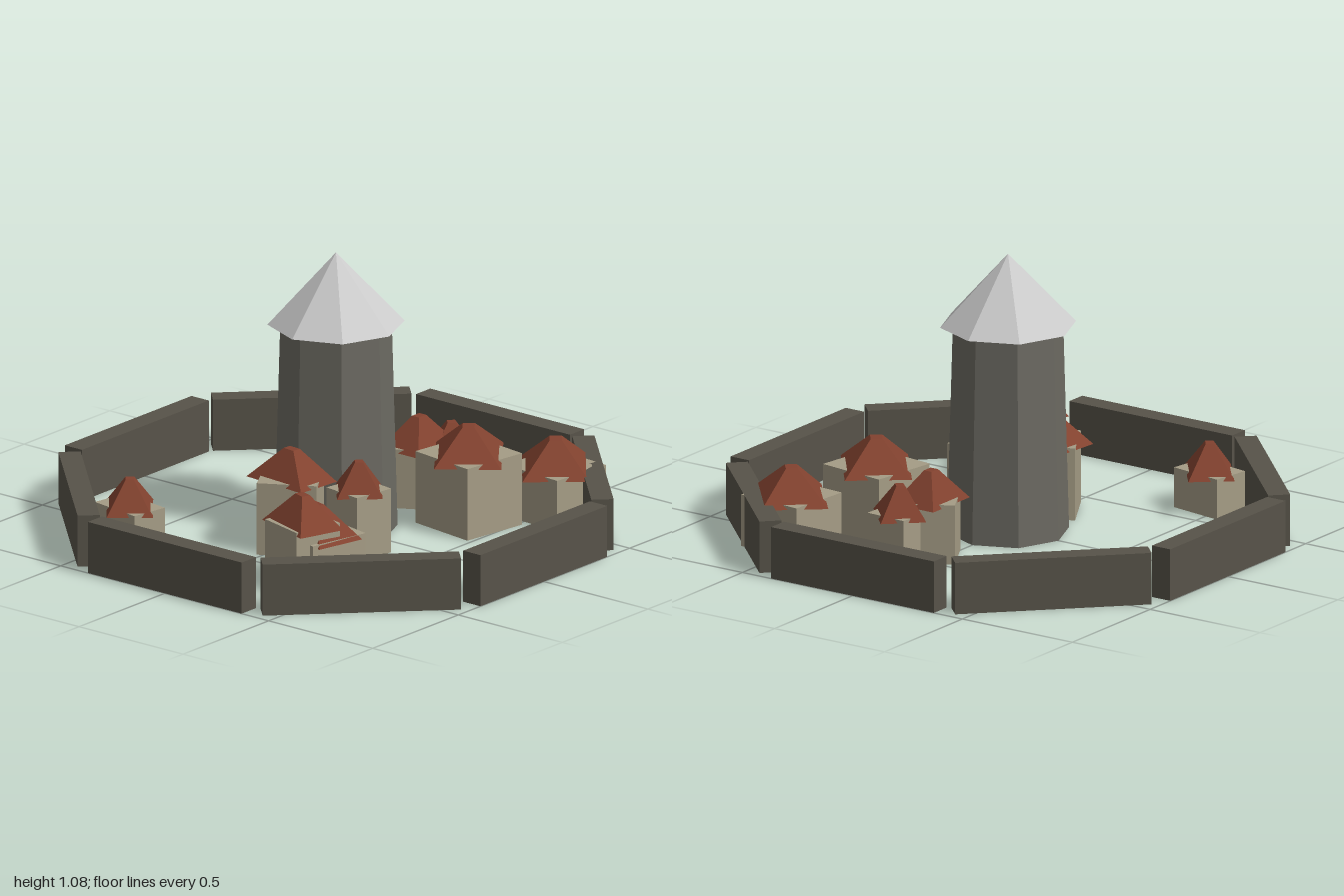
import * as THREE from 'three';

const paint = (color) => new THREE.MeshStandardMaterial({ color, flatShading: true });
const wallStone = paint(0x575349);
const towerStone = paint(0x6c6a62);
const plaster = paint(0xa59c85);
const tile = paint(0x82422f);
const slate = paint(0xcccccc);

function part(name, geometry, material, x, y, z, degrees = 0) {
  const mesh = new THREE.Mesh(geometry, material);
  mesh.name = name;
  mesh.position.set(x, y, z);
  mesh.rotation.y = -THREE.MathUtils.degToRad(degrees);
  return mesh;
}

// Four-sided hip roof with a small flat top, unit footprint
function roofGeometry(length, width, height) {
  return new THREE.CylinderGeometry(Math.SQRT1_2 * 0.18, Math.SQRT1_2, 1, 4)
    .rotateY(Math.PI / 4)
    .scale(length, height, width);
}

// House: box body and a roof turned at its own angle; angles go from +x to +z
function house(h) {
  const group = new THREE.Group();
  group.name = 'house';
  const [w, d, bodyAngle] = h.body;
  const [length, width, roofAngle] = h.roof;
  const bodyHeight = h.top - 0.105, roofHeight = 0.12;
  group.add(
    part('houseBody', new THREE.BoxGeometry(w, bodyHeight, d), plaster, 0, bodyHeight / 2, 0, bodyAngle),
    part('houseRoof', roofGeometry(length, width, roofHeight), tile, 0, h.top - roofHeight / 2, 0, roofAngle)
  );
  group.position.set(h.x, 0, h.z);
  return group;
}

const houses = [
  { x: 0.55, z: -0.615, top: 0.305, body: [0.27, 0.26, 5], roof: [0.315, 0.25, 50] },
  { x: 0.358, z: -0.34, top: 0.385, body: [0.285, 0.275, 8], roof: [0.32, 0.25, 52] },
  { x: 0.11, z: -0.54, top: 0.295, body: [0.17, 0.17, 3], roof: [0.2, 0.17, 47] },
  { x: 0.048, z: -0.427, top: 0.335, body: [0.2, 0.2, 61], roof: [0.235, 0.187, 90] },
  { x: 0.25, z: 0.17, top: 0.355, body: [0.17, 0.17, 9], roof: [0.18, 0.17, 48] },
  { x: 0.02, z: 0.283, top: 0.385, body: [0.226, 0.226, 60], roof: [0.284, 0.19, 5] },
  { x: 0.335, z: 0.525, top: 0.3, body: [0.28, 0.25, 12], roof: [0.306, 0.2, 13] },
  { x: 0.342, z: 0.61, top: 0.36, body: [0.2, 0.2, 15], roof: [0.265, 0.187, 18] },
  { x: -0.46, z: 0.645, top: 0.26, body: [0.222, 0.15, 9], roof: [0.221, 0.172, 51] },
];

export function createModel() {
  const model = new THREE.Group();
  model.name = 'walledVillage';

  // Ring of eight straight wall sections
  for (let i = 0; i < 8; i++) {
    const a = (i * Math.PI) / 4;
    const section = part('wallSection', new THREE.BoxGeometry(0.74, 0.2, 0.083), wallStone,
      Math.sin(a) * 0.958, 0.1, Math.cos(a) * 0.958);
    section.rotation.y = a;
    model.add(section);
  }

  // Tapered octagonal tower with an overhanging cone roof
  model.add(
    part('towerBody', new THREE.CylinderGeometry(0.208, 0.23, 0.805, 8), towerStone, 0, 0.4025, 0),
    part('towerRoof', new THREE.ConeGeometry(0.256, 0.275, 8), slate, 0, 0.9375, 0)
  );

  for (const h of houses) model.add(house(h));
  return model;
}
